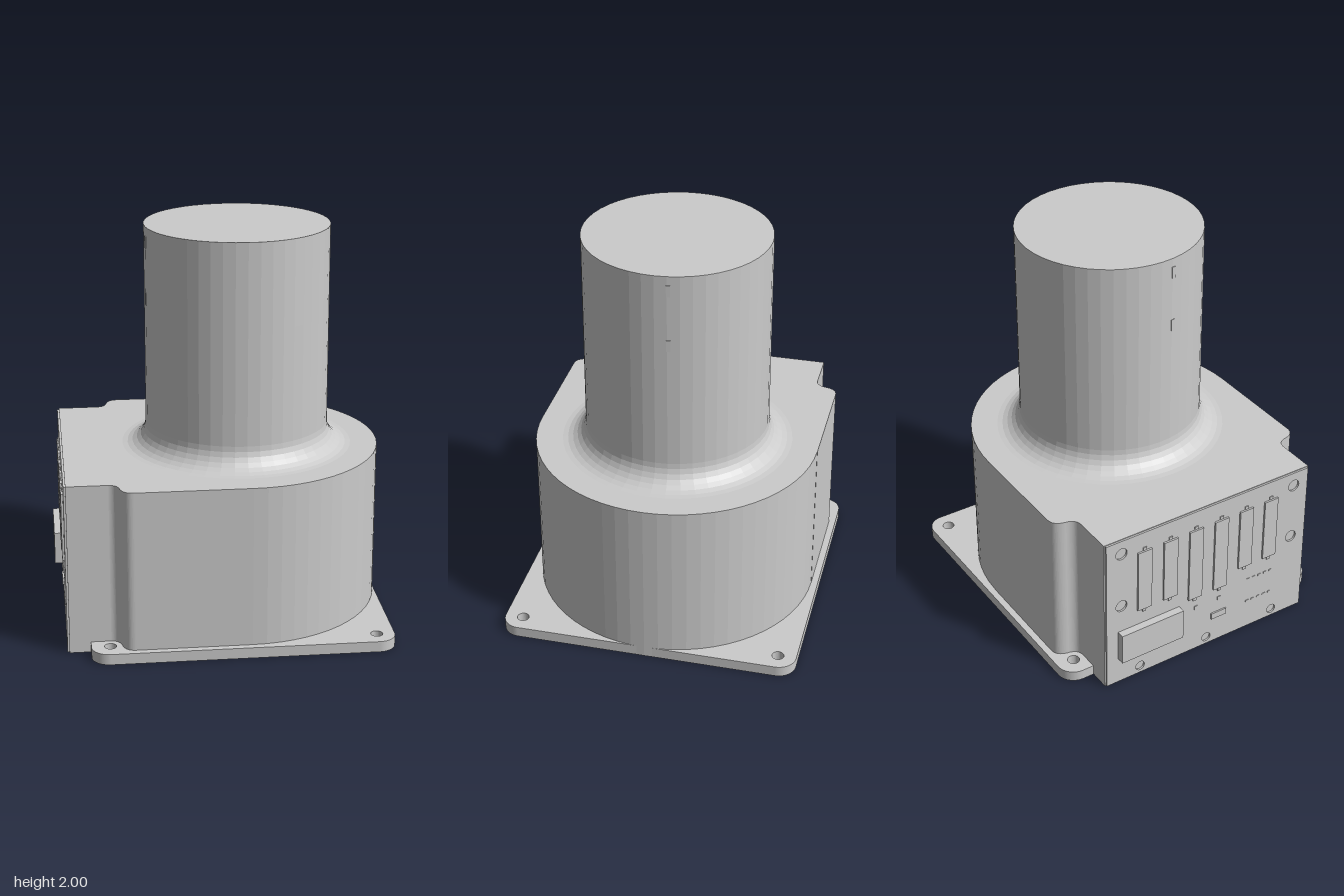
import * as THREE from 'three';

const CX = 0.11;      // axis of the column and of the rounded housing side
const R = 0.462;      // column radius
const FACE = -0.79;   // outer plane of the connector panel

const grey = new THREE.MeshStandardMaterial({ color: 0xcccccc, flatShading: true });

function add(group, name, geometry) {
  const mesh = new THREE.Mesh(geometry, grey);
  mesh.name = name;
  group.add(mesh);
  return mesh;
}

function circleHole(shape, x, y, r) {
  shape.holes.push(new THREE.Path().absarc(x, y, r, 0, Math.PI * 2, true));
}

// Extrude a plan drawn in (x, z) upwards from y0 to y1
function extrudeUp(shape, y0, y1) {
  return new THREE.ExtrudeGeometry(shape, { depth: y1 - y0, bevelEnabled: false, curveSegments: 16 })
    .rotateX(Math.PI / 2).translate(0, y1, 0);
}

// Box lying on the panel face, centred at (z, y) and standing out by depth
function panelBox(group, name, z, y, width, height, depth) {
  add(group, name, new THREE.BoxGeometry(depth + 0.004, height, width))
    .position.set(FACE - depth / 2 + 0.002, y, z);
}

function makeBase() {
  const x0 = -0.675, x1 = 0.825, h = 0.752, r = 0.09;
  const s = new THREE.Shape();
  s.absarc(x1 - r, h - r, r, 0, Math.PI / 2, false);
  s.absarc(x0 + r, h - r, r, Math.PI / 2, Math.PI, false);
  s.absarc(x0 + r, -h + r, r, Math.PI, Math.PI * 1.5, false);
  s.absarc(x1 - r, -h + r, r, Math.PI * 1.5, Math.PI * 2, false);
  for (const x of [-0.582, 0.735]) for (const z of [-0.66, 0.66]) circleHole(s, x, z, 0.03);
  return extrudeUp(s, 0, 0.055);
}

function makeHousing() {
  // Square end with stepped corners, running into a half-round end
  const s = new THREE.Shape();
  s.moveTo(FACE + 0.01, -0.602);
  s.lineTo(-0.575, -0.602);
  s.quadraticCurveTo(-0.535, -0.605, -0.525, -0.65);
  s.quadraticCurveTo(-0.515, -0.718, -0.46, -0.718);
  s.lineTo(CX, -0.718);
  s.absarc(CX, 0, 0.717, -Math.PI / 2, Math.PI / 2, false);
  s.lineTo(-0.46, 0.718);
  s.quadraticCurveTo(-0.515, 0.718, -0.525, 0.65);
  s.quadraticCurveTo(-0.535, 0.605, -0.575, 0.602);
  s.lineTo(FACE + 0.01, 0.602);
  s.closePath();
  return extrudeUp(s, 0.001, 0.87);
}

function makeColumn() {
  // Concave fillet at the foot, then a straight wall
  const points = [];
  const f = 0.12;
  for (let i = 0; i <= 7; i++) {
    const a = (i / 7) * Math.PI / 2;
    points.push(new THREE.Vector2(R + f - f * Math.sin(a), 0.87 + f - f * Math.cos(a)));
  }
  points.push(new THREE.Vector2(R, 1.57));
  return new THREE.LatheGeometry(points, 48).translate(CX, 0, 0);
}

function makePanel() {
  const panel = new THREE.Group();
  panel.name = 'connectorPanel';

  // Face plate with screw holes
  const s = new THREE.Shape();
  s.moveTo(-0.595, 0.003);
  s.lineTo(0.595, 0.003);
  s.lineTo(0.595, 0.866);
  s.lineTo(-0.595, 0.866);
  s.closePath();
  for (const z of [-0.51, 0.51]) for (const y of [0.475, 0.79]) circleHole(s, z, y, 0.032);
  for (const z of [-0.4, 0, 0.41]) circleHole(s, z, 0.045, 0.026);
  add(panel, 'panelPlate', new THREE.ExtrudeGeometry(s, { depth: 0.01, bevelEnabled: false, curveSegments: 8 })
    .rotateY(-Math.PI / 2).translate(FACE + 0.01, 0, 0));

  // Row of upright connectors, the middle pair longer
  for (let i = 0; i < 6; i++) {
    const z = -0.38 + i * 0.15;
    const bottom = i === 2 || i === 3 ? 0.34 : 0.41;
    panelBox(panel, 'uprightConnector', z, (0.76 + bottom) / 2, 0.08, 0.76 - bottom, 0.01);
    // Jack screws at both ends
    for (const y of [bottom - 0.012, 0.772]) panelBox(panel, 'jackScrew', z, y, 0.02, 0.016, 0.005);
  }

  // Power socket and small fittings
  panelBox(panel, 'powerSocket', -0.35, 0.235, 0.36, 0.17, 0.04);
  panelBox(panel, 'smallSocket', 0.07, 0.17, 0.09, 0.035, 0.008);
  panelBox(panel, 'indicator', 0.07, 0.27, 0.02, 0.02, 0.004);
  panelBox(panel, 'indicator', -0.07, 0.27, 0.02, 0.02, 0.004);
  for (let i = 0; i < 5; i++) {
    panelBox(panel, 'indicator', 0.25 + i * 0.035, 0.31, 0.018, 0.01, 0.003);
    panelBox(panel, 'indicator', 0.25 + i * 0.035, 0.17, 0.018, 0.01, 0.003);
  }
  return panel;
}

export function createModel() {
  const model = new THREE.Group();
  model.name = 'motorUnit';

  add(model, 'basePlate', makeBase());
  add(model, 'housing', makeHousing());
  add(model, 'column', makeColumn());
  add(model, 'columnCap', new THREE.CylinderGeometry(R, R, 0.43, 48)).position.set(CX, 1.785, 0);

  // Small latch tabs on opposite sides of the cap
  for (const side of [1, -1]) for (const y of [1.64, 1.925]) {
    const tab = add(model, 'latchTab', new THREE.BoxGeometry(0.012, 0.06, 0.02));
    const a = side > 0 ? 0.145 : Math.PI + 0.145;
    tab.position.set(CX + Math.cos(a) * (R - 0.003), y, -Math.sin(a) * (R - 0.003));
    tab.rotation.y = a;
  }

  model.add(makePanel());
  return model;
}
